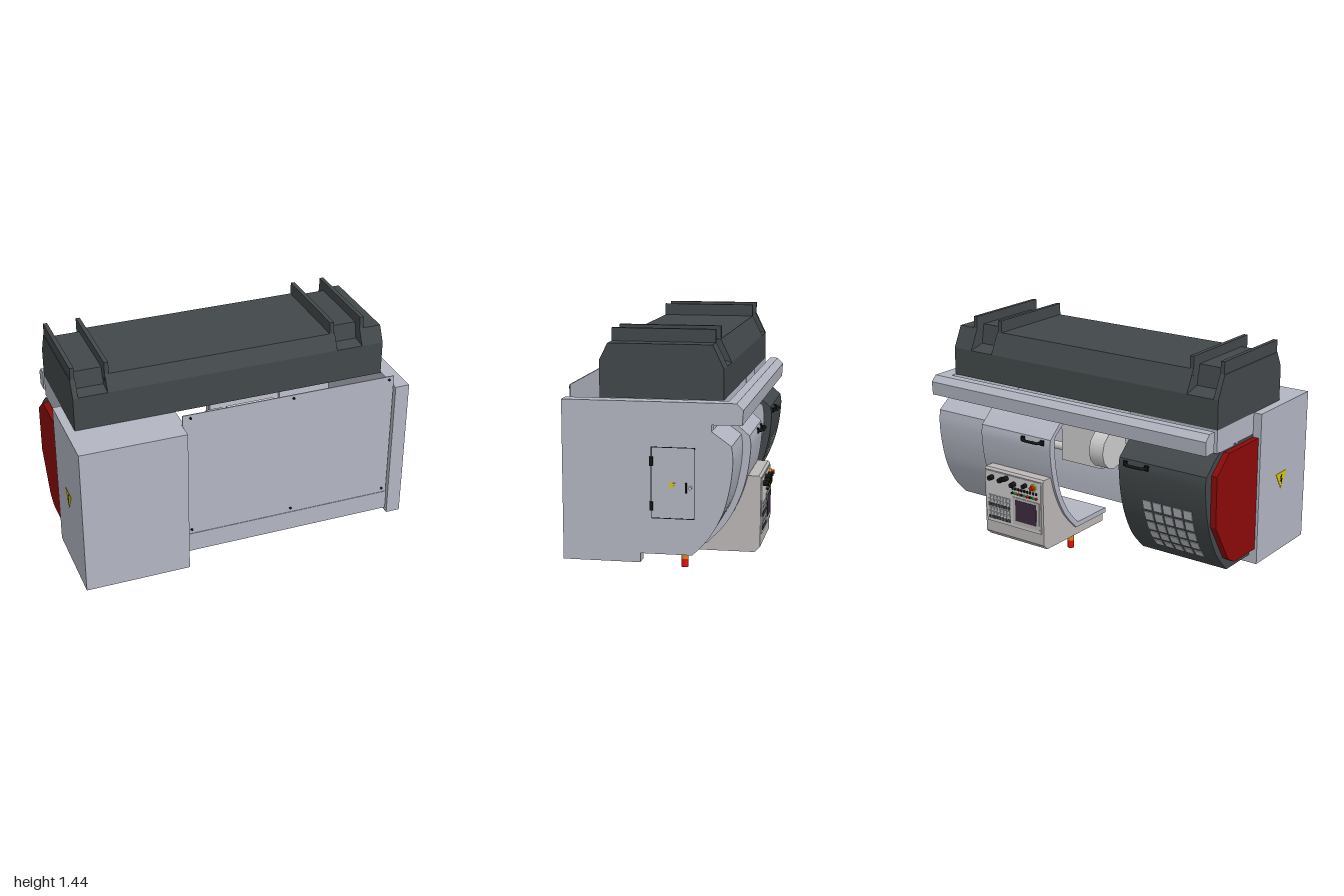
import * as THREE from 'three';
import { toCreasedNormals } from 'three/addons/utils/BufferGeometryUtils.js';

const mat = (color) => new THREE.MeshStandardMaterial({ color, side: THREE.DoubleSide });
const M = {
  body: mat(0xb3b6c2), dark: mat(0x42484a), red: mat(0x8c0a0a), beige: mat(0xbdb8b8), black: mat(0x151515),
  yellow: mat(0xd8c800), screen: mat(0x3c2c40), tile: mat(0xb8bcc0), steel: mat(0xcccccc),
  green: mat(0x10d020), orange: mat(0xe08010), lampRed: mat(0xe01010),
};

export function createModel() {
  const model = new THREE.Group();

  const add = (name, geo, m, parent = model) => {
    const mesh = new THREE.Mesh(geo, M[m]);
    mesh.name = name;
    parent.add(mesh);
    return mesh;
  };
  // Box given by its limits on each axis
  const box = (name, m, x0, x1, y0, y1, z0, z1, parent) => {
    const b = add(name, new THREE.BoxGeometry(x1 - x0, y1 - y0, z1 - z0), m, parent);
    b.position.set((x0 + x1) / 2, (y0 + y1) / 2, (z0 + z1) / 2);
    return b;
  };
  // Side profile of [z, y] points, extruded along x
  const profile = (name, m, pts, x0, x1, parent) => {
    const shape = new THREE.Shape(pts.map(([z, y]) => new THREE.Vector2(-z, y)));
    const geo = new THREE.ExtrudeGeometry(shape, { depth: x1 - x0, bevelEnabled: false });
    geo.rotateY(Math.PI / 2).translate(x0, 0, 0);
    return add(name, toCreasedNormals(geo, 0.4), m, parent);
  };
  // Cylinder along a chosen axis
  const rod = (name, m, r, len, axis, x, y, z, parent, sides = 24) => {
    const geo = new THREE.CylinderGeometry(r, r, len, sides);
    if (axis === 'x') geo.rotateZ(Math.PI / 2);
    if (axis === 'z') geo.rotateX(Math.PI / 2);
    const c = add(name, geo, m, parent);
    c.position.set(x, y, z);
    return c;
  };

  // Bulging rear curves, bottom to top: sliding doors and the fixed housing inside them
  const spline = (pts) => new THREE.SplineCurve(pts.map(([z, y]) => new THREE.Vector2(z, y)));
  const doorCurve = spline([[-0.225, 0.235], [-0.335, 0.355], [-0.41, 0.5], [-0.45, 0.64], [-0.467, 0.78], [-0.46, 0.845]]);
  const housingCurve = spline([[-0.21, 0.265], [-0.3, 0.365], [-0.37, 0.495], [-0.408, 0.64], [-0.422, 0.77], [-0.415, 0.855]]);
  const points = (c) => c.getPoints(28).map((p) => [p.x, p.y]);
  const outer = [[0.07, 0.235], ...points(doorCurve), [-0.375, 0.92], [-0.31, 0.96]];
  const inner = [[0.07, 0.265], ...points(housingCurve), [-0.31, 0.93]];
  const thin = inner.map(([z, y]) => [z + (z < 0 ? 0.025 : 0), y + (y < 0.3 ? 0.02 : -0.012)]);

  // Headstock end
  box('headstockCabinet', 'body', -1, -0.39, 0.19, 1.08, 0.02, 0.555);
  profile('leftDoor', 'dark', [[0.02, 0.235], ...outer.slice(1), [0.02, 0.96]], -0.95, -0.39);
  box('headstockTop', 'body', -0.95, -0.39, 0.95, 1.08, -0.36, 0.02);
  profile('spindleWall', 'body', [[0.45, 0.265], ...inner.slice(1), [-0.31, 1.08], [0.45, 1.08]], -0.392, -0.375);
  profile('redSideCover', 'red', [[0.02, 0.28], [-0.2, 0.28], [-0.27, 0.32], [-0.41, 0.55], [-0.41, 0.84], [-0.29, 0.94], [0.02, 0.94]], -0.985, -0.95);

  // Window tiles laid on the curved left door
  const tiles = new THREE.Group();
  tiles.name = 'doorWindowGrid';
  model.add(tiles);
  for (let r = 0; r < 5; r++) {
    const t = 0.2 + r * 0.108;
    const p = doorCurve.getPointAt(t), d = doorCurve.getTangentAt(t);
    for (let c = 0; c < 5; c++) {
      const tile = add('windowTile', new THREE.BoxGeometry(0.052, 0.055, 0.006), 'tile', tiles);
      tile.position.set(-0.565 - c * 0.066, p.y, p.x);
      tile.rotation.x = Math.atan2(d.x, d.y);
    }
  }

  // Tailstock end: flat end plate, fixed curved housing and sliding door
  const plate = [[0.49, 0.215], [0.07, 0.215], ...inner, [-0.31, 0.965], [-0.465, 0.965], [-0.465, 1.05], [-0.435, 1.08], [0.49, 1.08]];
  profile('rightEndPlate', 'body', plate, 0.89, 0.975);
  profile('fixedHousing', 'body', [...inner, ...thin.slice().reverse()], 0.55, 0.9);
  profile('rightDoor', 'body', [...outer, ...inner.slice().reverse()], 0.09, 0.6);

  // Rear top rail
  profile('rearRail', 'body', [[-0.39, 0.965], [-0.47, 0.965], [-0.475, 1.045], [-0.44, 1.08], [-0.39, 1.08]], -0.95, 0.975);

  // Front sheet, screws and lower beam
  box('frontPanel', 'body', -0.39, 0.885, 0.357, 1.145, 0.462, 0.468);
  profile('frontLowerBeam', 'body', [[0.466, 0.235], [0.466, 0.353], [0.4, 0.353], [0.385, 0.32], [0.36, 0.3], [0.36, 0.235]], -0.39, 0.89);
  for (const x of [-0.345, 0.265, 0.855])
    for (const y of [0.385, 1.125]) rod('panelScrew', 'black', 0.007, 0.01, 'z', x, y, 0.471, model, 12);

  // Top hood, split along x so pockets can be cut between the lifting fins
  const hood = new THREE.Group();
  hood.name = 'topHood';
  model.add(hood);
  const full = [[0.305, 1.08], [0.305, 1.28], [0.26, 1.37], [-0.3, 1.37], [-0.36, 1.245], [-0.36, 1.08]];
  const pocket = [[0.305, 1.08], [0.305, 1.28], [0.22, 1.29], [0.2, 1.385], [-0.24, 1.385], [-0.26, 1.27], [-0.36, 1.245], [-0.36, 1.08]];
  [[-0.95, -0.92, full], [-0.92, -0.755, pocket], [-0.755, 0.6, full], [0.6, 0.755, pocket], [0.755, 0.885, full]]
    .forEach(([a, b, p]) => profile('hoodSection', 'dark', p, a, b, hood));
  for (const x of [-0.935, -0.745, 0.58, 0.767])
    box('liftingFin', 'dark', x - 0.012, x + 0.012, 1.33, 1.44, -0.3, 0.26, hood);

  // Machining space: bed, guide rails, carriage and spindle
  profile('slantBed', 'body', [[0.36, 0.3], [0.12, 0.3], [0.12, 0.5], [0.26, 0.95], [0.36, 0.95]], -0.375, 0.89);
  rod('guideRail', 'steel', 0.025, 1.26, 'x', 0.255, 0.58, 0.11);
  rod('guideRail', 'steel', 0.025, 1.26, 'x', 0.255, 0.82, 0.18);
  box('toolCarriage', 'steel', 0.05, 0.35, 0.55, 0.85, -0.02, 0.16);
  rod('toolTurret', 'steel', 0.12, 0.1, 'x', 0, 0.7, -0.03, model, 12);
  rod('spindleFlange', 'steel', 0.11, 0.015, 'x', -0.368, 0.57, -0.1, model, 40);
  rod('chuck', 'steel', 0.065, 0.12, 'x', -0.31, 0.57, -0.1, model, 32);
  rod('chuckNose', 'steel', 0.04, 0.05, 'x', -0.23, 0.57, -0.1);

  // Door handles
  for (const x of [-0.505, 0.215]) {
    const path = new THREE.CatmullRomCurve3([[-0.075, 0], [-0.05, -0.028], [0.05, -0.028], [0.075, 0]]
      .map(([a, z]) => new THREE.Vector3(x + a, 0.82, -0.465 + z)), false, 'catmullrom', 0.1);
    add('doorHandle', new THREE.TubeGeometry(path, 24, 0.009, 8), 'black');
    for (const s of [-1, 1]) box('handleFoot', 'black', x + s * 0.07 - 0.012, x + s * 0.07 + 0.012, 0.805, 0.835, -0.474, -0.46);
  }

  // Operator console
  const con = new THREE.Group();
  con.name = 'operatorConsole';
  model.add(con);
  profile('consoleTray', 'beige', [[0.06, 0.18], [-0.485, 0.18], [-0.515, 0.21], [-0.515, 0.262], [-0.24, 0.262], [-0.215, 0.235], [0.06, 0.235]], 0.105, 0.54, con);
  profile('consoleBox', 'beige', [[-0.24, 0.262], [-0.515, 0.262], [-0.518, 0.6], [-0.505, 0.612], [-0.445, 0.612], [-0.41, 0.5], [-0.335, 0.355]], 0.105, 0.54, con);
  box('consoleFace', 'steel', 0.12, 0.525, 0.28, 0.595, -0.522, -0.515, con);
  box('screenBezel', 'beige', 0.13, 0.325, 0.3, 0.47, -0.526, -0.52, con);
  box('screen', 'screen', 0.15, 0.305, 0.325, 0.455, -0.528, -0.52, con);
  for (let c = 0; c < 7; c++) {
    const x = 0.35 + c * 0.024;
    for (let r = 0; r < 6; r++)
      box('key', r % 3 ? 'tile' : 'dark', x, x + 0.017, 0.3 + r * 0.026, 0.319 + r * 0.026, -0.527, -0.52, con);
  }
  for (let c = 0; c < 9; c++) {
    const x = 0.15 + c * 0.022;
    rod('pushButton', ['lampRed', 'green', 'black'][c % 3], 0.007, 0.014, 'z', x, 0.495, -0.527, con, 12);
    box('toggle', 'black', x - 0.006, x + 0.006, 0.515, 0.53, -0.528, -0.52, con);
  }
  [[0.48, 0.56], [0.405, 0.56], [0.37, 0.575], [0.315, 0.55]].forEach(([x, y]) =>
    rod('selectorKnob', 'black', 0.015, 0.035, 'z', x, y, -0.537, con, 16));
  rod('stopButton', 'yellow', 0.02, 0.012, 'z', 0.17, 0.56, -0.526, con);
  rod('stopButtonCap', 'lampRed', 0.013, 0.028, 'z', 0.17, 0.56, -0.536, con);
  rod('selectorKnob', 'black', 0.013, 0.03, 'z', 0.23, 0.56, -0.535, con, 16);

  // Signal lamp under the console
  [['lampRed', 0, 0.048], ['orange', 0.048, 0.092], ['green', 0.092, 0.138], ['steel', 0.138, 0.18]].forEach(([m, a, b]) =>
    rod('signalLamp', m, 0.02, b - a, 'y', 0.27, (a + b) / 2, -0.045));

  // Electrical access door on the right end
  const gap = new THREE.Shape([[-0.012, 0.458], [0.222, 0.458], [0.222, 0.842], [-0.012, 0.842]].map((p) => new THREE.Vector2(...p)));
  gap.holes.push(new THREE.Path([[-0.008, 0.462], [0.218, 0.462], [0.218, 0.838], [-0.008, 0.838]].map((p) => new THREE.Vector2(...p))));
  add('accessDoorOutline', new THREE.ExtrudeGeometry(gap, { depth: 0.002, bevelEnabled: false }).rotateY(Math.PI / 2).translate(0.975, 0, 0), 'black');
  for (const y of [0.525, 0.765]) box('hinge', 'black', 0.975, 0.986, y - 0.024, y + 0.024, 0, 0.018);
  box('accessHandle', 'black', 0.975, 0.984, 0.6, 0.655, -0.18, -0.172);
  rod('accessLock', 'steel', 0.009, 0.025, 'x', 0.9875, 0.63, -0.2, model, 16);

  // Warning triangles, point down
  const warning = (x0, x1, y, z, s) =>
    profile('warningTriangle', 'yellow', [[z - s, y + s * 0.85], [z + s, y + s * 0.85], [z, y - s * 0.85]], x0, x1);
  warning(0.975, 0.978, 0.635, -0.1, 0.019);
  warning(-1.002, -1, 0.62, 0.27, 0.06);
  profile('warningMark', 'black', [[0.28, 0.655], [0.265, 0.655], [0.26, 0.62], [0.272, 0.62], [0.268, 0.585], [0.285, 0.632], [0.272, 0.632]], -1.003, -1.001);

  return model;
}
